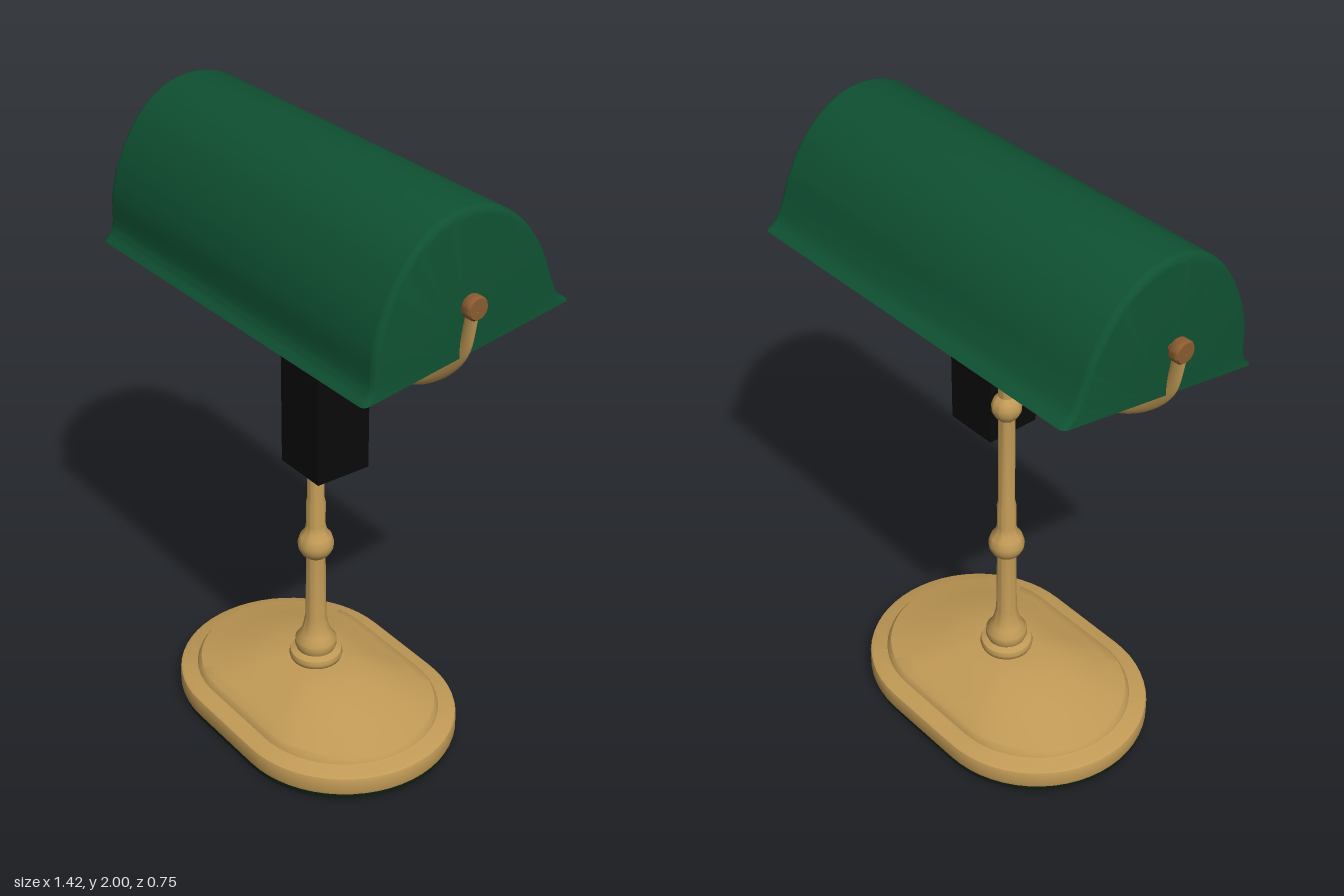
import * as THREE from 'three';
import { toCreasedNormals } from 'three/addons/utils/BufferGeometryUtils.js';

const AXIS_Z = 0.01;

// Skins a list of equal-length rings of [x, y, z]; caps are fans to a given centre.
function loft(rings, { closed = false, startCap, endCap, crease = 0.6 } = {}) {
  const n = rings[0].length, pos = rings.flat(2), idx = [];
  const last = (rings.length - 1) * n, steps = closed ? n : n - 1;
  for (let i = 0; i < rings.length - 1; i++) {
    for (let j = 0; j < steps; j++) {
      const a = i * n + j, c = i * n + (j + 1) % n;
      idx.push(a, a + n, c, c, a + n, c + n);
    }
  }
  const cap = (centre, base, flip) => {
    const m = pos.length / 3;
    pos.push(...centre);
    for (let j = 0; j < steps; j++) {
      const a = base + j, b = base + (j + 1) % n;
      idx.push(m, flip ? b : a, flip ? a : b);
    }
  };
  if (startCap) cap(startCap, 0, false);
  if (endCap) cap(endCap, last, true);
  const g = new THREE.BufferGeometry();
  g.setAttribute('position', new THREE.Float32BufferAttribute(pos, 3));
  g.setIndex(idx);
  return toCreasedNormals(g, crease);
}

// Round-ended oval: half straight length s, end radius r, height y
function oval(s, r, y) {
  const ring = [];
  for (const side of [1, -1]) {
    for (let k = 0; k <= 28; k++) {
      const a = -Math.PI / 2 + Math.PI * k / 28;
      ring.push([side * (s + r * Math.cos(a)), y, AXIS_Z + side * r * Math.sin(a)]);
    }
  }
  return ring;
}

// Shade cross-section as (z, y), from the front lip over the top to the back lip
const shadeProfile = new THREE.CatmullRomCurve3([
  [0.338, 1.525], [0.312, 1.56], [0.302, 1.68], [0.265, 1.795], [0.19, 1.913], [0.098, 1.98],
  [0, 2], [-0.1, 1.98], [-0.193, 1.915], [-0.268, 1.81], [-0.307, 1.715], [-0.336, 1.662], [-0.37, 1.637],
].map(([z, y]) => new THREE.Vector3(0, y, z)), false, 'centripetal').getPoints(60);
const mouth = { y: 1.581, z: -0.016 };

// Rings of a shade shell with rounded ends; scaling about the mouth keeps the rim in one plane
function shadeRings(half, size, radius) {
  const right = [];
  for (let k = 0; k <= 5; k++) {
    const a = (Math.PI / 2) * k / 5;
    const x = half - radius * (1 - Math.sin(a));
    const s = size * (1 - radius / 0.36 * (1 - Math.cos(a)));
    right.push([x, s]);
  }
  const left = right.map(([x, s]) => [-x, s]).reverse();
  return [...left, ...right].map(([x, s]) => shadeProfile.map(p =>
    [x, mouth.y + (p.y - mouth.y) * s, mouth.z + (p.z - mouth.z) * s]));
}
const rimLoop = rings => [...rings.map(r => r[0]), ...rings.map(r => r[r.length - 1]).reverse()];

export function createModel() {
  const model = new THREE.Group();
  model.name = 'deskLamp';
  const mat = (name, color, side = THREE.FrontSide) => {
    const m = new THREE.MeshStandardMaterial({ color, side });
    m.name = name;
    return m;
  };
  const brass = mat('brass', 0xc19a56);
  const bronze = mat('bronze', 0x8a5c30);
  const green = mat('greenEnamel', 0x0f5132, THREE.DoubleSide);
  const cream = mat('creamLining', 0xd6ccbc, THREE.DoubleSide);
  const glass = mat('bulbGlass', 0xe4e0d4);
  const black = mat('blackPlastic', 0x0a0a0a);
  const felt = mat('darkFelt', 0x0f1c12);

  const add = (name, geometry, material, x = 0, y = 0, z = 0) => {
    const mesh = new THREE.Mesh(geometry, material);
    mesh.name = name;
    mesh.position.set(x, y, z);
    model.add(mesh);
    return mesh;
  };
  const lathe = pts => toCreasedNormals(
    new THREE.LatheGeometry(pts.map(([r, y]) => new THREE.Vector2(r, y)), 32), 0.7);

  // Base: felt pad, rounded rim, step and shallow dome
  add('feltPad', loft([oval(0.15, 0.357, 0), oval(0.15, 0.357, 0.022)],
    { closed: true, startCap: [0, 0, AXIS_Z] }), felt);
  const rim = [[0.357, 0.018], [0.363, 0.022], [0.366, 0.032], [0.366, 0.072], [0.363, 0.082],
    [0.355, 0.087], [0.318, 0.09], [0.308, 0.095], [0.304, 0.106], [0.295, 0.118]]
    .map(([r, y]) => oval(0.15, r, y));
  const dome = [[0.88, 0.132], [0.75, 0.148], [0.57, 0.172], [0.42, 0.187], [0.27, 0.197], [0.1, 0.2]]
    .map(([f, y]) => oval(0.15 * f, 0.295 * f, y));
  add('base', loft([...rim, ...dome], { closed: true, endCap: [0, 0.2, AXIS_Z] }), brass);

  // Turned column with collars
  add('column', lathe([
    [0.07, 0.19], [0.083, 0.2], [0.087, 0.214], [0.083, 0.227], [0.062, 0.235], [0.068, 0.25],
    [0.067, 0.272], [0.052, 0.292], [0.042, 0.32], [0.034, 0.36], [0.031, 0.59], [0.045, 0.602],
    [0.056, 0.622], [0.058, 0.642], [0.05, 0.668], [0.036, 0.685], [0.031, 0.71], [0.031, 0.79],
    [0.027, 0.81], [0.026, 1.13], [0.037, 1.142], [0.046, 1.16], [0.047, 1.18], [0.04, 1.2],
    [0.026, 1.215], [0.025, 1.305], [0.038, 1.32], [0.045, 1.335], [0.046, 1.36], [0.038, 1.376],
    [0.022, 1.385], [0, 1.386],
  ]), brass, 0, 0, AXIS_Z);

  // Lamp stem, socket and bulb
  add('socket', lathe([
    [0.022, 1.38], [0.022, 1.525], [0.036, 1.535], [0.046, 1.55], [0.046, 1.58], [0.041, 1.59],
    [0.041, 1.69], [0.034, 1.7], [0, 1.7],
  ]), bronze, 0, 0, AXIS_Z);
  add('bulb', lathe([
    [0.03, 1.695], [0.036, 1.72], [0.052, 1.76], [0.06, 1.795], [0.058, 1.83], [0.045, 1.86],
    [0.024, 1.878], [0, 1.883],
  ]), glass, 0, 0, AXIS_Z);

  // Flattened yoke arm carrying the shade
  const half = [[0.69, 1.735], [0.684, 1.69], [0.66, 1.6], [0.59, 1.515], [0.46, 1.432], [0.25, 1.382]];
  const armPath = new THREE.CatmullRomCurve3([
    ...half.map(([x, y]) => [-x, y]), [0, 1.367], ...half.slice().reverse(),
  ].map(([x, y]) => new THREE.Vector3(x, y, 0)));
  add('yokeArm', new THREE.TubeGeometry(armPath, 96, 0.023, 14), brass, 0, 0, AXIS_Z).scale.z = 0.5;

  // Pivot knobs and pins on both ends
  const knobGeo = lathe([[0, -0.018], [0.03, -0.018], [0.035, -0.012], [0.035, 0.012], [0.03, 0.018], [0, 0.018]]);
  const pinGeo = new THREE.CylinderGeometry(0.013, 0.013, 0.06, 16);
  for (const s of [1, -1]) {
    const name = s > 0 ? 'left' : 'right';
    add(name + 'Knob', knobGeo, bronze, s * 0.694, 1.738, 0.008).rotation.z = Math.PI / 2;
    add(name + 'Pin', pinGeo, bronze, s * 0.66, 1.73, 0.008).rotation.z = Math.PI / 2;
  }

  // Shade: outer shell, lining and the rim joining them
  const outer = shadeRings(0.658, 1, 0.02);
  const inner = shadeRings(0.645, 0.97, 0.02);
  const caps = x => ({ startCap: [-x, mouth.y, mouth.z], endCap: [x, mouth.y, mouth.z] });
  add('shadeShell', loft(outer, caps(0.658)), green);
  add('shadeLining', loft(inner, caps(0.645)), cream);
  add('shadeRim', loft([rimLoop(outer), rimLoop(inner)], { closed: true }), green);

  // Box hanging beside the column
  add('controlBox', new THREE.BoxGeometry(0.183, 0.63, 0.185), black, 0.138, 1.335, 0.077);

  return model;
}
